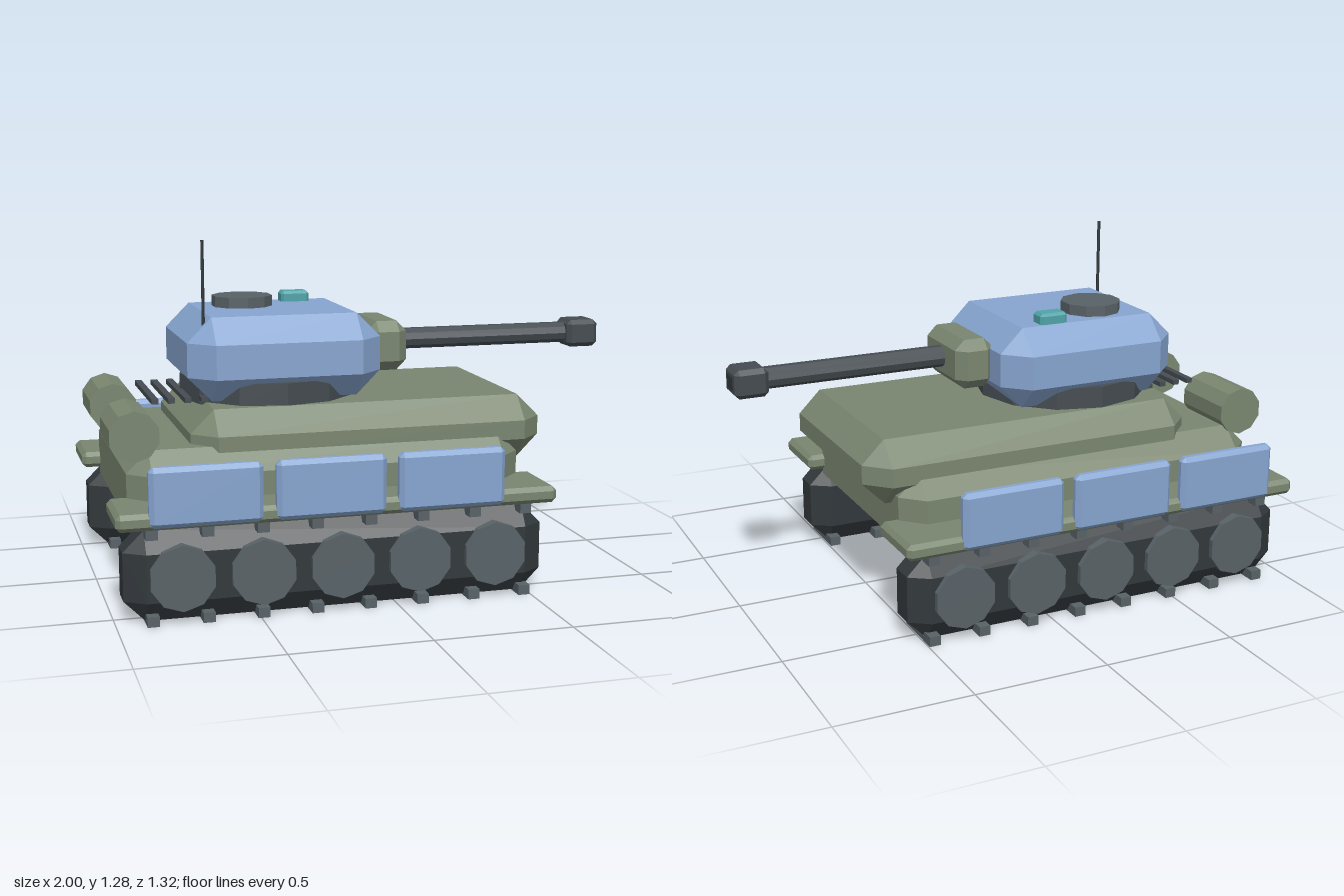
import * as THREE from 'three';
import { ConvexGeometry } from 'three/addons/geometries/ConvexGeometry.js';

const mat = (color) => new THREE.MeshStandardMaterial({ color, flatShading: true });

export function createModel() {
  const model = new THREE.Group();
  model.name = 'tank';
  const green = mat(0x7a8670), blue = mat(0x87a5d0), rubber = mat(0x32383c);
  const steel = mat(0x586267), iron = mat(0x454c51), teal = mat(0x50a3a8);

  const add = (name, geometry, material, parent = model) => {
    const mesh = new THREE.Mesh(geometry, material);
    mesh.name = name;
    parent.add(mesh);
    return mesh;
  };

  // Box between two corners with every edge chamfered by c = [cx, cy, cz]
  const chamferBox = (name, [x0, y0, z0], [x1, y1, z1], c, material, parent) => {
    const half = [(x1 - x0) / 2, (y1 - y0) / 2, (z1 - z0) / 2];
    const cut = Array.isArray(c) ? c : [c, c, c];
    const points = [];
    for (const sx of [-1, 1]) for (const sy of [-1, 1]) for (const sz of [-1, 1]) {
      for (let full = 0; full < 3; full++) {
        const p = half.map((h, i) => (i === full ? h : h - cut[i]));
        points.push(new THREE.Vector3(sx * p[0], sy * p[1], sz * p[2]));
      }
    }
    const mesh = add(name, new ConvexGeometry(points), material, parent);
    mesh.position.set((x0 + x1) / 2, (y0 + y1) / 2, (z0 + z1) / 2);
    return mesh;
  };

  const box = (name, size, pos, material, parent) => {
    const mesh = add(name, new THREE.BoxGeometry(...size), material, parent);
    mesh.position.set(...pos);
    return mesh;
  };

  const cylinder = (name, r, length, sides, pos, material, parent) => {
    const mesh = add(name, new THREE.CylinderGeometry(r, r, length, sides), material, parent);
    mesh.position.set(...pos);
    return mesh;
  };

  // Hull
  chamferBox('lowerHull', [-0.93, 0.24, -0.48], [0.52, 0.57, 0.48], 0.08, green);
  chamferBox('upperHull', [-0.69, 0.45, -0.42], [0.63, 0.69, 0.42], 0.085, green);

  // Engine deck grille
  for (let i = 0; i < 4; i++) {
    box('grilleBar', [0.025, 0.018, 0.43], [-0.795 + i * 0.06, 0.705, 0], iron);
  }

  // Turret
  const turret = new THREE.Group();
  turret.name = 'turret';
  model.add(turret);
  cylinder('turretRing', 0.335, 0.09, 12, [-0.335, 0.725, 0], iron, turret);
  chamferBox('turretBody', [-0.68, 0.7, -0.325], [0.04, 1.005, 0.325], 0.09, blue, turret);
  chamferBox('mantlet', [0.02, 0.768, -0.165], [0.175, 0.955, 0.165], 0.038, green, turret);
  cylinder('hatch', 0.115, 0.05, 10, [-0.41, 1.02, -0.095], steel, turret);
  chamferBox('periscope', [-0.24, 0.995, -0.23], [-0.13, 1.045, -0.157], 0.01, teal, turret);
  cylinder('antenna', 0.006, 0.32, 6, [-0.615, 1.12, 0.213], rubber, turret);

  // Gun
  cylinder('barrel', 0.041, 0.75, 10, [0.525, 0.868, 0], iron, turret).rotation.z = -Math.PI / 2;
  chamferBox('muzzle', [0.866, 0.814, -0.066], [0.993, 0.92, 0.066], 0.017, iron, turret);
  box('bore', [0.02, 0.053, 0.07], [0.986, 0.867, 0], rubber, turret);

  // Parts mirrored on both sides
  for (const s of [1, -1]) {
    const side = new THREE.Group();
    side.name = s > 0 ? 'frontSide' : 'backSide';
    model.add(side);
    // Chamfered box given by its inner and outer distance from the centre line
    const sideBox = (name, x0, x1, y0, y1, inner, outer, c, material) => chamferBox(
      name, [x0, y0, s > 0 ? inner : -outer], [x1, y1, s > 0 ? outer : -inner], c, material, side);

    sideBox('track', -0.97, 0.555, 0.005, 0.327, 0.412, 0.605, [0.075, 0.075, 0.05], rubber);
    sideBox('fender', -1, 0.585, 0.344, 0.404, 0.375, 0.646, 0.016, green);

    for (let i = 0; i < 3; i++) {
      const x = -0.888 + i * 0.438;
      sideBox('sidePanel', x, x + 0.392, 0.353, 0.562, 0.61, 0.66, 0.016, blue);
    }
    for (let i = 0; i < 5; i++) {
      cylinder('roadWheel', 0.117, 0.06, 10, [-0.773 + i * 0.283, 0.165, s * 0.595], steel, side)
        .rotation.x = Math.PI / 2;
    }
    for (let i = 0; i < 8; i++) {
      const x = -0.876 + i * 0.193;
      box('trackPadBottom', [0.042, 0.036, 0.215], [x, 0.018, s * 0.508], steel, side);
      box('trackPadTop', [0.042, 0.036, 0.215], [x, 0.323, s * 0.508], steel, side);
    }

    // Rear fuel drum
    cylinder('fuelDrum', 0.091, 0.264, 10, [-0.9, 0.623, s * 0.288], green, side)
      .rotation.x = Math.PI / 2;
  }
  return model;
}
